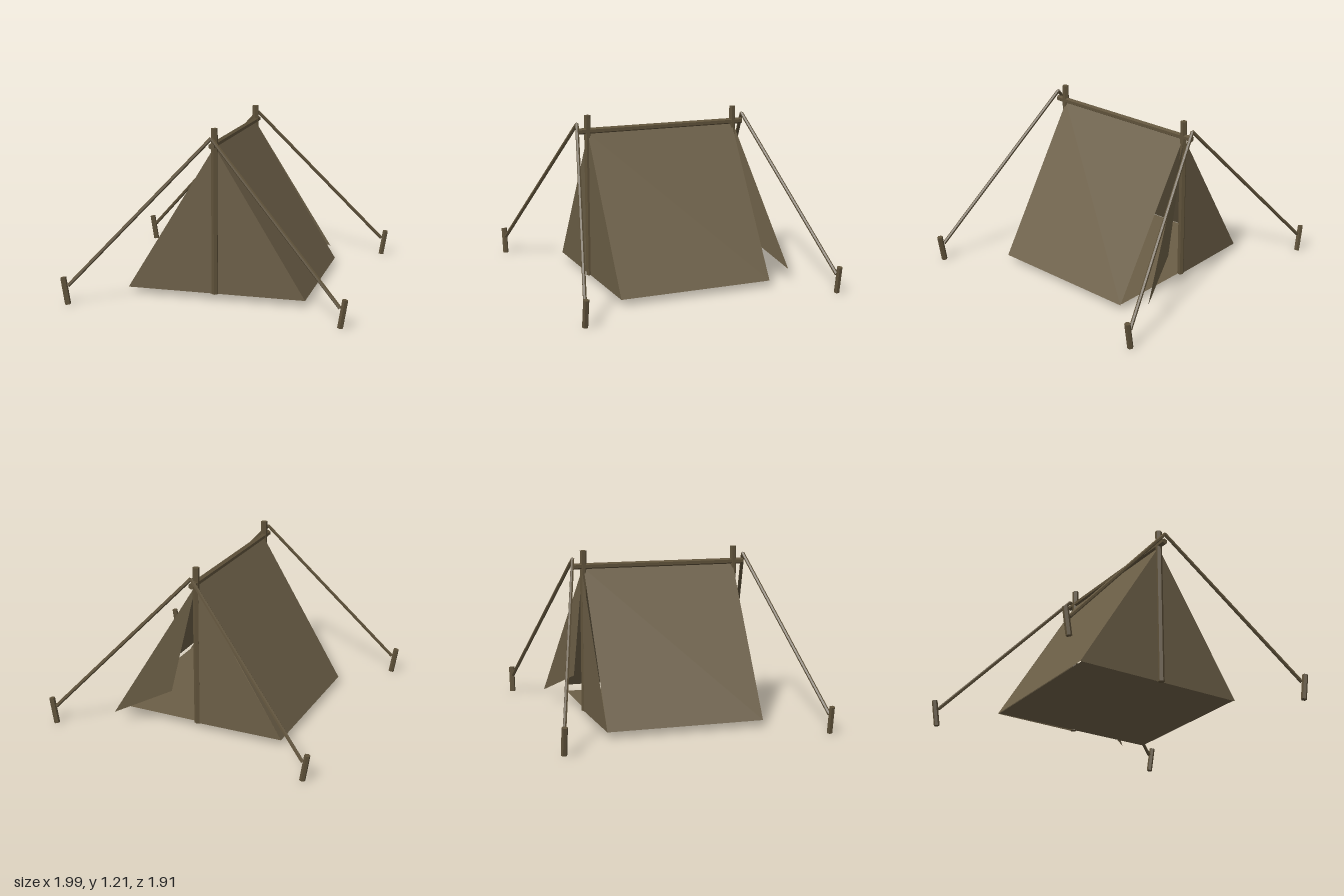
import * as THREE from 'three';

const canvas = new THREE.MeshStandardMaterial({ color: 0x6b5e46 });
canvas.name = 'canvas brown';
canvas.side = THREE.DoubleSide;
const outerCanvas = new THREE.MeshStandardMaterial({ color: 0x6b5e46 });
outerCanvas.name = 'one-sided canvas brown';
const wood = new THREE.MeshStandardMaterial({ color: 0x5f523a });
wood.name = 'wood brown';
wood.flatShading = true;

const HALF_W = 0.64, HALF_L = 0.565, BASE = 0.045, RIDGE = 1.085;

export function createModel() {
  const tent = new THREE.Group();
  tent.name = 'tent';

  // Flat cloth panel, fanned from its corners
  function panel(name, corners, material = canvas) {
    const pos = [];
    for (let i = 1; i < corners.length - 1; i++) pos.push(...corners[0], ...corners[i], ...corners[i + 1]);
    const geo = new THREE.BufferGeometry();
    geo.setAttribute('position', new THREE.Float32BufferAttribute(pos, 3));
    geo.computeVertexNormals();
    const mesh = new THREE.Mesh(geo, material);
    mesh.name = name;
    tent.add(mesh);
  }

  // Six-sided rod between two points
  function rod(name, from, to, radius) {
    const a = new THREE.Vector3(...from), b = new THREE.Vector3(...to);
    const dir = b.clone().sub(a);
    const mesh = new THREE.Mesh(new THREE.CylinderGeometry(radius, radius, dir.length(), 6), wood);
    mesh.position.copy(a).add(b).multiplyScalar(0.5);
    mesh.quaternion.setFromUnitVectors(new THREE.Vector3(0, 1, 0), dir.normalize());
    mesh.name = name;
    tent.add(mesh);
  }

  // Sloping walls; the left wall's lining stops short of the floor
  panel('rightWall', [[-HALF_W, BASE, HALF_L], [0, RIDGE, HALF_L], [0, RIDGE, -HALF_L], [-HALF_W, BASE, -HALF_L]]);
  panel('leftWall', [[HALF_W, BASE, -HALF_L], [0, RIDGE, -HALF_L], [0, RIDGE, HALF_L], [HALF_W, BASE, HALF_L]], outerCanvas);
  panel('leftWallLining', [[0.603, 0.105, HALF_L], [0, RIDGE, HALF_L], [0, RIDGE, -HALF_L], [0.603, 0.105, -HALF_L]], outerCanvas);

  // Groundsheet
  panel('floor', [[-0.625, 0.05, HALF_L], [0.63, 0.05, HALF_L], [0.63, 0.05, -HALF_L], [-0.625, 0.05, -HALF_L]]);

  // Closed front, one closed back flap and one pulled open
  panel('frontWall', [[-HALF_W, BASE, HALF_L], [HALF_W, BASE, HALF_L], [0, RIDGE, HALF_L]]);
  panel('closedBackFlap', [[0, BASE, -0.58], [-HALF_W, BASE, -HALF_L], [0, RIDGE, -0.58]]);
  panel('openBackFlap', [[0, RIDGE, -0.575], [0.57, 0.088, -0.755], [0.185, 0.268, -0.605]]);

  // Ridge beam, poles, guy ropes and stakes
  rod('ridgeBeam', [0, 1.1, -0.643], [0, 1.1, 0.643], 0.022);
  for (const z of [1, -1]) {
    rod(z > 0 ? 'frontPole' : 'backPole', [0, BASE, z * 0.568], [0, 1.212, z * 0.568], 0.024);
    for (const x of [1, -1]) {
      rod('guyRope', [0, 1.155, z * 0.645], [x * 0.945, 0.135, z * 0.928], 0.013);
      rod('stake', [x * 0.948, 0.004, z * 0.932], [x * 0.978, 0.194, z * 0.932], 0.021);
    }
  }
  return tent;
}
